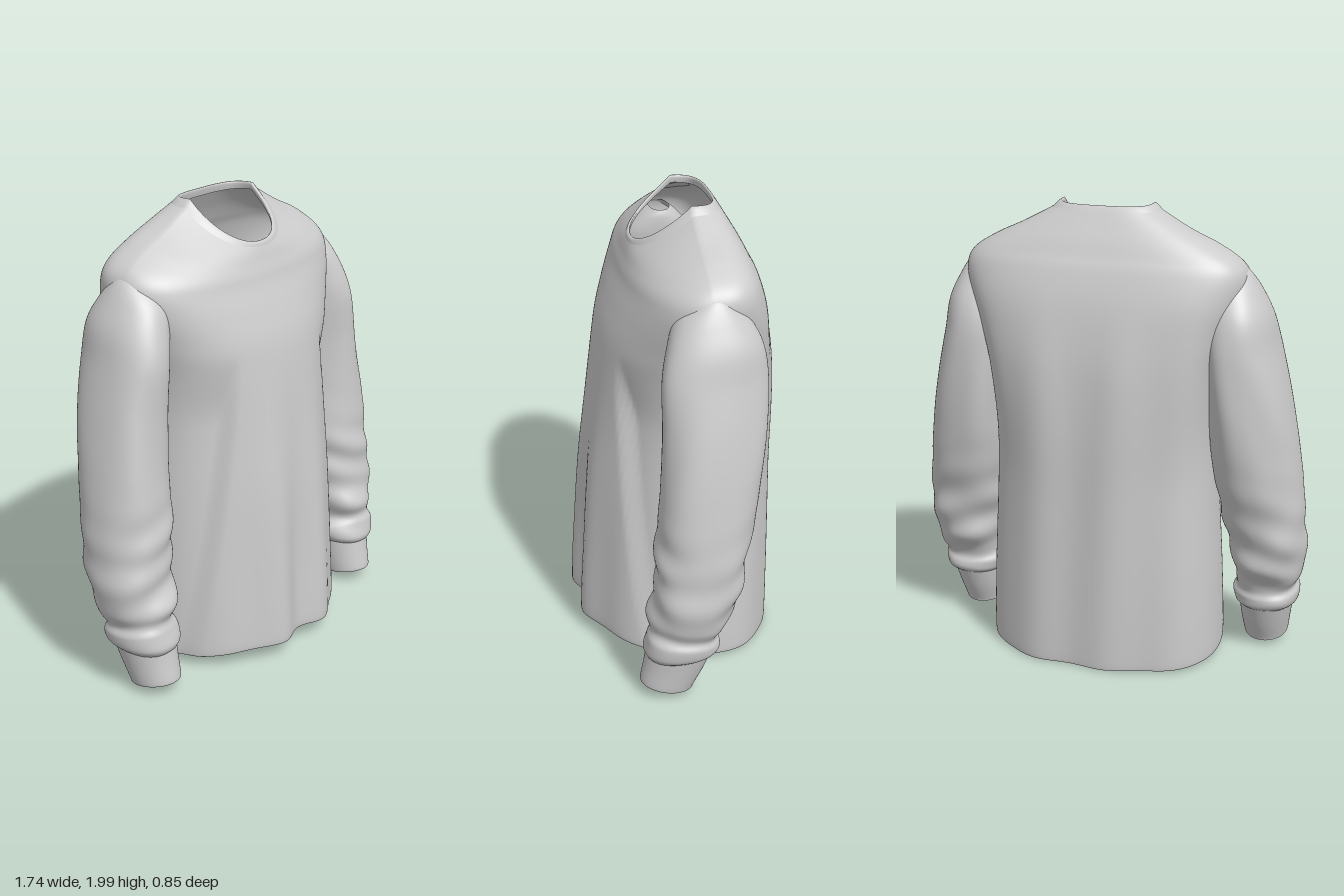
import * as THREE from 'three';

const cloth = new THREE.MeshStandardMaterial({ color: 0xcccccc, side: THREE.DoubleSide });
cloth.name = 'light grey cloth';

const smooth = (a, b, v) => THREE.MathUtils.smoothstep(v, a, b);
const bump = (v, c, w) => Math.exp(-(((v - c) / w) ** 2));
const power = (v, p) => Math.sign(v) * Math.abs(v) ** p;

// Smooth interpolation of a table of section measurements, u in 0..1
function sample(rows, u) {
  const f = u * (rows.length - 1);
  const i = Math.min(Math.floor(f), rows.length - 2);
  const t = f - i;
  const at = (k) => rows[THREE.MathUtils.clamp(k, 0, rows.length - 1)];
  return rows[0].map((_, k) => {
    const a = at(i - 1)[k], b = at(i)[k], c = at(i + 1)[k], d = at(i + 2)[k];
    return b + 0.5 * t * (c - a + t * (2 * a - 5 * b + 4 * c - d + t * (3 * (b - c) + d - a)));
  });
}

// Closed rings stacked from bottom to top; point(u, angle) gives [x, y, z]
function loft(name, point, rings, segs, flip = false) {
  const pos = [], index = [];
  for (let i = 0; i <= rings; i++) {
    for (let j = 0; j < segs; j++) {
      pos.push(...point(i / rings, (j / segs) * Math.PI * 2));
      if (i === rings) continue;
      const a = i * segs + j, b = i * segs + ((j + 1) % segs), c = a + segs, d = b + segs;
      if (flip) index.push(a, b, c, b, d, c);
      else index.push(a, c, b, b, c, d);
    }
  }
  const g = new THREE.BufferGeometry();
  g.setAttribute('position', new THREE.Float32BufferAttribute(pos, 3));
  g.setIndex(index);
  g.computeVertexNormals();
  const mesh = new THREE.Mesh(g, cloth);
  mesh.name = name;
  return mesh;
}

// Body: front y, side y, back y, half width, front z, back z
const BODY = [
  [0.08, 0.03, 0.005, 0.512, 0.405, -0.412],
  [0.11, 0.07, 0.05, 0.52, 0.415, -0.418],
  [0.40, 0.38, 0.38, 0.51, 0.40, -0.42],
  [0.75, 0.75, 0.75, 0.49, 0.38, -0.42],
  [1.05, 1.05, 1.05, 0.48, 0.35, -0.42],
  [1.30, 1.30, 1.30, 0.50, 0.32, -0.41],
  [1.44, 1.46, 1.47, 0.54, 0.295, -0.39],
  [1.56, 1.60, 1.62, 0.59, 0.255, -0.36],
  [1.65, 1.70, 1.74, 0.612, 0.22, -0.32],
  [1.70, 1.775, 1.80, 0.58, 0.205, -0.29],
  [1.74, 1.84, 1.86, 0.48, 0.19, -0.26],
  [1.775, 1.895, 1.92, 0.36, 0.178, -0.225],
  [1.80, 1.965, 1.97, 0.235, 0.168, -0.195],
];
const COLLAR = [
  [1.80, 1.965, 1.97, 0.235, 0.168, -0.195],
  [1.815, 1.995, 1.99, 0.205, 0.163, -0.18],
  [1.82, 1.99, 1.985, 0.193, 0.152, -0.172],
  [1.81, 1.965, 1.955, 0.196, 0.15, -0.178],
];

function bodyPoint(rows, u, t) {
  const [yf, ys, yb, w, zf, zb] = sample(rows, u);
  const s = Math.sin(t), front = s >= 0;
  // Squarer across the shoulder blades, rounder at the hem
  const n = front ? 2.2 : 2.5 + 0.7 * smooth(0.8, 1.4, ys);
  const k = power(Math.abs(s), 2 / n), zc = -0.06;
  const x = w * power(Math.cos(t), 2 / n);
  let z = zc + k * ((front ? zf : zb) - zc);
  const y = ys + ((front ? yf : yb) - ys) * Math.abs(s) ** 0.85;
  if (front) {
    // Two hanging folds at the middle and a slanted crease on each side
    z -= 0.028 * (1 - smooth(0.15, 1.4, y)) * Math.cos(x * 20) * bump(x, 0, 0.28);
    const crease = 0.27 + 0.19 * THREE.MathUtils.clamp((1.35 - y) / 1.25, 0, 1);
    z -= 0.055 * smooth(crease - 0.01, crease + 0.025, Math.abs(x)) * Math.sqrt(k) * (1 - smooth(1.1, 1.42, y));
  } else {
    z += 0.01 * k * (1 - smooth(1.2, 1.7, y)) * Math.sin(x * 19 + 0.8 * y);
  }
  return [x, y, z];
}

// Sleeve: y, inner x, outer x, front z, back z
const SLEEVE = [
  [0.20, 0.585, 0.80, 0.235, -0.03],
  [0.23, 0.555, 0.83, 0.25, -0.065],
  [0.28, 0.55, 0.84, 0.235, -0.07],
  [0.32, 0.57, 0.825, 0.215, -0.065],
  [0.38, 0.555, 0.85, 0.23, -0.09],
  [0.48, 0.54, 0.868, 0.205, -0.135],
  [0.64, 0.515, 0.862, 0.195, -0.175],
  [0.82, 0.485, 0.848, 0.18, -0.225],
  [1.02, 0.47, 0.822, 0.16, -0.26],
  [1.22, 0.46, 0.785, 0.15, -0.28],
  [1.42, 0.45, 0.738, 0.15, -0.285],
  [1.55, 0.44, 0.708, 0.125, -0.265],
  [1.65, 0.43, 0.663, 0.085, -0.215],
  [1.72, 0.43, 0.622, 0.02, -0.16],
  [1.755, 0.44, 0.59, -0.03, -0.12],
];
const CUFF = [
  [0.045, 0.587, 0.778, 0.26, 0.035],
  [0.06, 0.583, 0.782, 0.262, 0.03],
  [0.14, 0.575, 0.795, 0.247, -0.01],
  [0.24, 0.568, 0.812, 0.233, -0.05],
];

function sleevePoint(side, u, t) {
  const [y, xi, xo, zf, zb] = sample(SLEEVE, u);
  const c = Math.cos(t), s = Math.sin(t);
  // Slanted gathers near the wrist, long soft folds toward the armpit
  const wrist = bump(y, 0.48, 0.25) * smooth(0.2, 0.28, y);
  const upper = bump(y, 1.15, 0.3);
  const k = 1
    + 0.05 * wrist * Math.sin(y * 36 + 2.2 * c + 2 * s + side * 0.4)
    + 0.04 * wrist * Math.sin(y * 19 - 3 * t)
    + 0.025 * upper * Math.sin(5 * t + 5 * y + side);
  const x = (xi + xo) / 2 + ((xo - xi) / 2) * power(c, 0.9) * (c > 0 ? 1 + (k - 1) * (1 - 0.6 * c) : k);
  // The outer face of the upper arm sits further forward than the inner face
  const lean = 0.035 * c * smooth(0.6, 1, y) * (1 - smooth(1.4, 1.65, y));
  const z = (zf + zb) / 2 + ((zf - zb) / 2) * power(s, 0.9) * k + lean;
  return [side * x, y + 0.035 * wrist * s, z];
}

function cuffPoint(side, u, t) {
  const [y, xi, xo, zf, zb] = sample(CUFF, u);
  const x = (xi + xo) / 2 + ((xo - xi) / 2) * Math.cos(t);
  const z = (zf + zb) / 2 + ((zf - zb) / 2) * Math.sin(t);
  return [side * x, y + 0.018 * Math.sin(t), z];
}

export function createModel() {
  const group = new THREE.Group();
  group.name = 'sweatshirt';
  group.add(loft('body', (u, t) => bodyPoint(BODY, u, t), 100, 160));
  group.add(loft('collar', (u, t) => bodyPoint(COLLAR, u, t), 10, 160));
  for (const side of [1, -1]) {
    const label = side > 0 ? 'left' : 'right', flip = side < 0;
    group.add(loft(label + 'Sleeve', (u, t) => sleevePoint(side, u, t), 120, 80, flip));
    group.add(loft(label + 'Cuff', (u, t) => cuffPoint(side, u, t), 12, 80, flip));
  }
  return group;
}
